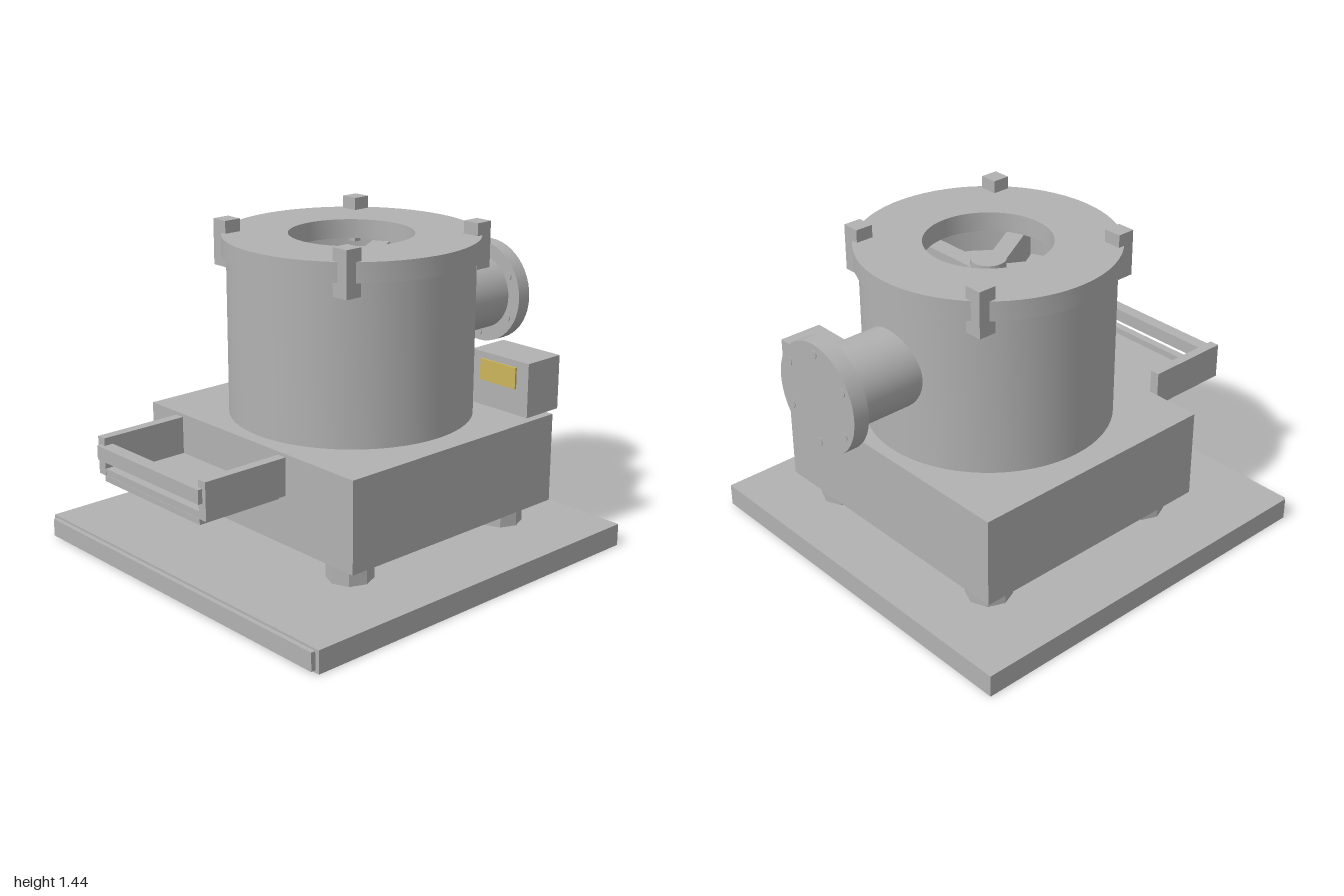
import * as THREE from 'three';
import { toCreasedNormals } from 'three/addons/utils/BufferGeometryUtils.js';

export function createModel() {
  const model = new THREE.Group();
  const steel = new THREE.MeshStandardMaterial({ color: 0xb2b2b2 });
  steel.name = 'steelGrey';
  const amber = new THREE.MeshStandardMaterial({ color: 0xccb55c });
  amber.name = 'panelYellow';

  const add = (name, geometry, material = steel, parent = model) => {
    const mesh = new THREE.Mesh(geometry, material);
    mesh.name = name;
    parent.add(mesh);
    return mesh;
  };
  // Box given by its minimum and maximum on each axis
  const box = (name, [x0, x1], [y0, y1], [z0, z1], material) => {
    const mesh = add(name, new THREE.BoxGeometry(x1 - x0, y1 - y0, z1 - z0), material);
    mesh.position.set((x0 + x1) / 2, (y0 + y1) / 2, (z0 + z1) / 2);
    return mesh;
  };
  // Turned part with sharp rims
  const lathe = (points, sides = 64) => toCreasedNormals(
    new THREE.LatheGeometry(points.map(([x, y]) => new THREE.Vector2(x, y)), sides), 0.6);

  const drumZ = -0.105;

  // Base plate, front strip and plinth
  box('basePlate', [-0.885, 0.885], [0, 0.1], [-0.895, 0.88]);
  box('baseFrontStrip', [-0.865, 0.865], [0.01, 0.09], [0.88, 0.9]);
  box('plinth', [-0.65, 0.65], [0.2, 0.6], [-0.695, 0.49]);

  // Octagonal feet
  for (const x of [-0.49, 0.49]) for (const z of [0.355, -0.55]) {
    const geometry = new THREE.CylinderGeometry(0.1, 0.1, 0.1, 8).toNonIndexed();
    geometry.computeVertexNormals();
    add('foot', geometry).position.set(x, 0.15, z);
  }

  // Drum: open-topped wall with an inner floor
  add('drum', lathe([[0.533, 0.6], [0.533, 1.3], [0.5, 1.3], [0.5, 1.1], [0, 1.1]]))
    .position.z = drumZ;

  // Ring lid
  add('lid', lathe([[0.27, 1.3], [0.553, 1.3], [0.553, 1.385], [0.27, 1.385], [0.27, 1.3]]))
    .position.z = drumZ;

  // Impeller: hub with six blades
  const impeller = new THREE.Group();
  impeller.name = 'impeller';
  impeller.position.z = drumZ;
  model.add(impeller);
  add('hub', new THREE.CylinderGeometry(0.075, 0.075, 0.2, 32), steel, impeller).position.y = 1.2;
  for (let i = 0; i < 6; i++) {
    const blade = new THREE.BoxGeometry(0.4, 0.14, 0.08).translate(0.265, 1.18, 0);
    add('blade', blade, steel, impeller).rotation.y = i * Math.PI / 3;
  }

  // Lid clamps
  for (const x of [-0.375, 0.375]) for (const z of [-0.48, 0.27])
    box('lidClamp', [x - 0.04, x + 0.04], [1.24, 1.44], [z - 0.04, z + 0.04]);

  // Rear outlet pipe with bolted flange
  const outlet = new THREE.Group();
  outlet.name = 'outlet';
  outlet.position.y = 0.99;
  model.add(outlet);
  const rearTube = (name, r, z0, z1, sides) => {
    const mesh = add(name, new THREE.CylinderGeometry(r, r, z1 - z0, sides), steel, outlet);
    mesh.rotation.x = Math.PI / 2;
    mesh.position.z = (z0 + z1) / 2;
    return mesh;
  };
  rearTube('outletPipe', 0.172, -0.95, -0.55, 48);
  rearTube('flange', 0.237, -0.997, -0.927, 48);
  for (let i = 0; i < 6; i++) {
    const a = Math.PI / 6 + i * Math.PI / 3;
    const bolt = rearTube('flangeBolt', 0.018, -1, -0.922, 10);
    bolt.position.x = Math.cos(a) * 0.195;
    bolt.position.y = Math.sin(a) * 0.195;
  }

  // Control box and its yellow panel
  box('controlBox', [0.35, 0.67], [0.63, 0.87], [-0.7, -0.5]);
  box('controlPanel', [0.405, 0.605], [0.745, 0.84], [-0.5, -0.491], amber);

  // Front tray: side plates, floor, lip and rail
  for (const s of [-1, 1])
    box('traySide', [s * 0.333 - 0.022, s * 0.333 + 0.022], [0.475, 0.637], [0.58, 0.98]);
  box('trayFloor', [-0.315, 0.315], [0.45, 0.475], [0.58, 0.98]);
  box('trayLip', [-0.312, 0.312], [0.475, 0.505], [0.94, 0.978]);
  box('trayRail', [-0.335, 0.335], [0.545, 0.605], [0.94, 1]);

  return model;
}
